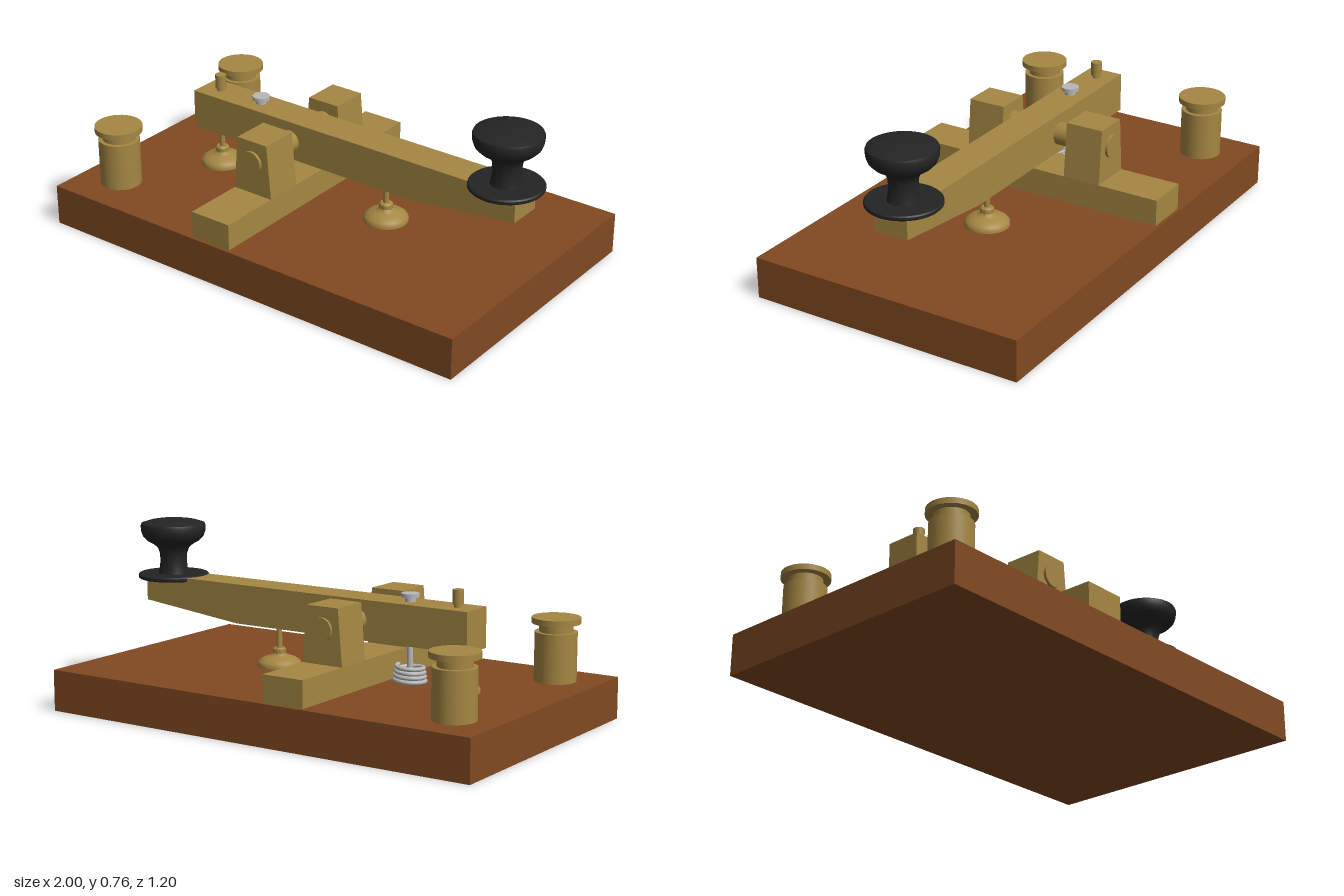
import * as THREE from 'three';
import { toCreasedNormals } from 'three/addons/utils/BufferGeometryUtils.js';

const mat = (name, color) => {
  const m = new THREE.MeshStandardMaterial({ color });
  m.name = name;
  return m;
};

export function createModel() {
  const wood = mat('wood', 0x824a22);
  const brass = mat('brass', 0xa58743);
  const black = mat('black', 0x242424);
  const steel = mat('steel', 0xb8b8b8);

  const root = new THREE.Group();
  root.name = 'telegraphKey';

  const add = (parent, name, geometry, material, x = 0, y = 0, z = 0) => {
    const mesh = new THREE.Mesh(geometry, material);
    mesh.name = name;
    mesh.position.set(x, y, z);
    parent.add(mesh);
    return mesh;
  };
  // Upright cylinder between two heights
  const rod = (parent, name, material, r, y0, y1, x = 0, z = 0, sides = 32) =>
    add(parent, name, new THREE.CylinderGeometry(r, r, y1 - y0, sides), material, x, (y0 + y1) / 2, z);
  // Turned part from [radius, height] pairs
  const turned = (points) => toCreasedNormals(
    new THREE.LatheGeometry(points.map(([r, y]) => new THREE.Vector2(r, y)), 48), 0.6);
  // Side outline in x/y, extruded symmetrically along z
  const slab = (points, depth) => {
    const shape = new THREE.Shape(points.map(([x, y]) => new THREE.Vector2(x, y)));
    return new THREE.ExtrudeGeometry(shape, { depth, bevelEnabled: false }).translate(0, 0, -depth / 2);
  };

  // Wooden base
  add(root, 'base', new THREE.BoxGeometry(2, 0.175, 1.2), wood, 0, 0.0875, 0);

  // Bridge: cross bar, two tapered uprights and the pivot pin
  const bridge = new THREE.Group();
  bridge.name = 'bridge';
  bridge.position.x = -0.162;
  root.add(bridge);
  add(bridge, 'crossBar', new THREE.BoxGeometry(0.188, 0.113, 1.172), brass, 0, 0.2315, 0);
  const upright = slab([[-0.094, 0.288], [0.094, 0.288], [0.074, 0.521], [-0.074, 0.521]], 0.165);
  for (const s of [1, -1]) add(bridge, 'upright', upright, brass, 0, 0, s * 0.2355);
  add(bridge, 'pivotPin', new THREE.CylinderGeometry(0.048, 0.048, 0.66, 32), brass, 0, 0.43, 0)
    .rotation.x = Math.PI / 2;

  // Lever arm with tapered front underside
  add(root, 'lever', slab([
    [-0.675, 0.348], [0.44, 0.348], [0.925, 0.402], [0.925, 0.515], [-0.675, 0.515],
  ], 0.15), brass);

  // Finger knob and its skirt
  const knob = new THREE.Group();
  knob.name = 'knob';
  knob.position.x = 0.838;
  root.add(knob);
  add(knob, 'skirt', turned([
    [0, 0.498], [0.147, 0.498], [0.152, 0.503], [0.152, 0.513], [0.147, 0.518], [0, 0.518],
  ]), black);
  add(knob, 'handle', turned([
    [0.066, 0.515], [0.06, 0.54], [0.057, 0.575], [0.059, 0.605], [0.067, 0.628], [0.085, 0.645],
    [0.112, 0.66], [0.13, 0.678], [0.138, 0.7], [0.14, 0.725], [0.136, 0.735],
    [0.1, 0.746], [0.05, 0.754], [0, 0.756],
  ]), black);

  // Contact feet under the lever
  const foot = turned([
    [0.093, 0.175], [0.093, 0.187], [0.086, 0.198], [0.07, 0.209], [0.048, 0.217], [0.034, 0.222],
    [0.028, 0.23], [0.028, 0.248], [0.022, 0.254], [0, 0.254],
  ]);
  for (const x of [-0.59, 0.275]) {
    add(root, 'contactFoot', foot, brass, x);
    rod(root, 'contactRod', brass, 0.012, 0.25, 0.36, x);
  }

  // Rear adjusting screw
  rod(root, 'screwNeck', brass, 0.017, 0.51, 0.53, -0.59);
  rod(root, 'screwHead', brass, 0.023, 0.527, 0.586, -0.59);

  // Return spring with its bolt
  const turns = 4, path = [];
  for (let i = 0; i <= turns * 16; i++) {
    const t = i / (turns * 16), a = t * turns * Math.PI * 2, r = 0.064 - 0.01 * t;
    path.push(new THREE.Vector3(Math.cos(a) * r, 0.184 + 0.07 * t, Math.sin(a) * r));
  }
  add(root, 'spring', new THREE.TubeGeometry(new THREE.CatmullRomCurve3(path), 160, 0.009, 10), steel, -0.37);
  rod(root, 'springBolt', steel, 0.012, 0.175, 0.36, -0.37);
  rod(root, 'boltNeck', steel, 0.022, 0.51, 0.535, -0.37);
  rod(root, 'boltHead', steel, 0.037, 0.533, 0.549, -0.37, 0, 12);

  // Binding posts
  for (const z of [0.4, -0.4]) {
    const post = new THREE.Group();
    post.name = 'bindingPost';
    post.position.set(-0.815, 0, z);
    root.add(post);
    rod(post, 'postBody', brass, 0.087, 0.175, 0.378);
    rod(post, 'postNeck', brass, 0.069, 0.375, 0.415);
    rod(post, 'postCap', brass, 0.1, 0.413, 0.437);
  }

  return root;
}
